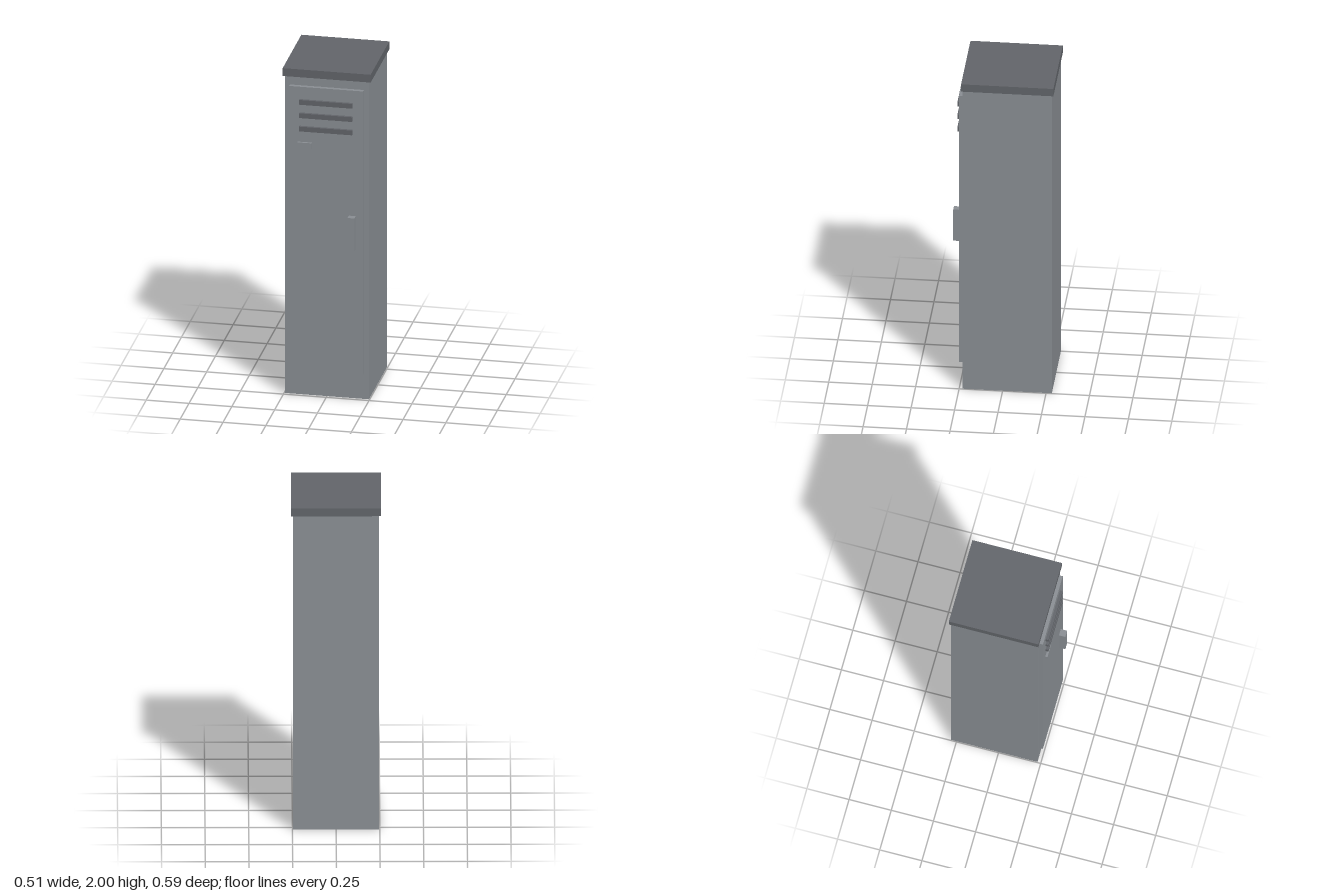
import * as THREE from 'three';

export function createModel() {
  const locker = new THREE.Group();
  locker.name = 'locker';

  const paint = new THREE.MeshStandardMaterial({ color: 0x8b9095 });
  paint.name = 'grey paint';
  const trim = new THREE.MeshStandardMaterial({ color: 0x63666b });
  trim.name = 'dark grey trim';

  // Box given by its extents along x, y and z
  const box = (name, material, [x0, x1], [y0, y1], [z0, z1]) => {
    const mesh = new THREE.Mesh(new THREE.BoxGeometry(x1 - x0, y1 - y0, z1 - z0), material);
    mesh.position.set((x0 + x1) / 2, (y0 + y1) / 2, (z0 + z1) / 2);
    mesh.name = name;
    locker.add(mesh);
  };

  // Cabinet and overhanging lid
  box('cabinet', paint, [-0.246, 0.246], [0, 1.952], [-0.283, 0.23]);
  box('lid', trim, [-0.257, 0.257], [1.952, 2], [-0.293, 0.238]);

  // Door
  const doorFront = 0.254;
  box('door', paint, [-0.216, 0.216], [0.157, 1.9], [0.23, doorFront]);

  // Ventilation louvres
  for (let i = 0; i < 3; i++) {
    const y = 1.81 - i * 0.082;
    box('louvre' + (i + 1), trim, [-0.155, 0.155], [y - 0.0145, y + 0.0145], [doorFront, 0.27]);
  }

  // Label holder and handle
  box('labelHolder', paint, [-0.165, -0.083], [1.525, 1.562], [doorFront, 0.267]);
  box('handle', paint, [0.133, 0.173], [0.926, 1.13], [doorFront, 0.292]);

  return locker;
}
